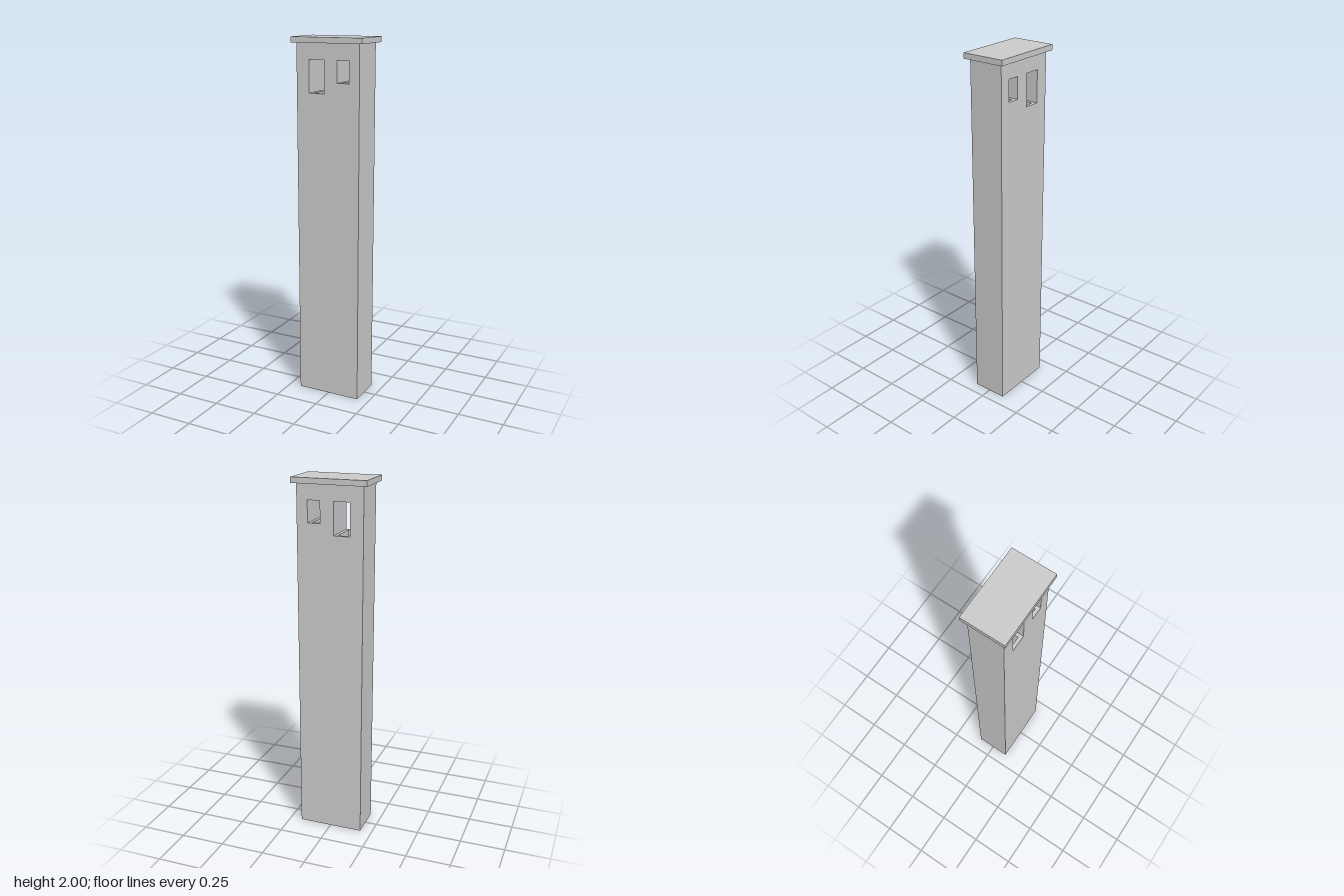
import * as THREE from 'three';
import { mergeGeometries } from 'three/addons/utils/BufferGeometryUtils.js';

const HALF_W = 0.183, HALF_D = 0.098, CAP_Y = 1.97;
const LIP = 0.018, FLUE_BOTTOM = 0.05;
const OPENINGS = [
  { x0: -0.11, x1: -0.02, y0: 1.71, y1: 1.885 },
  { x0: 0.054, x1: 0.123, y0: 1.768, y1: 1.885 },
];

function rectangle(Type, x0, y0, x1, y1) {
  return new Type().moveTo(x0, y0).lineTo(x1, y0).lineTo(x1, y1).lineTo(x0, y1).closePath();
}

// Flat rectangle, turned and moved into place
function panel(w, h, rx, ry, x, y, z) {
  return new THREE.PlaneGeometry(w, h).rotateX(rx).rotateY(ry).translate(x, y, z);
}

export function createModel() {
  const group = new THREE.Group();
  const material = new THREE.MeshStandardMaterial({ color: 0xcccccc, flatShading: true });
  const add = (name, geometry) => {
    const mesh = new THREE.Mesh(geometry, material);
    mesh.name = name;
    group.add(mesh);
    return mesh;
  };
  const Q = Math.PI / 2;

  // Outer walls of the stack, pierced front and back
  const walls = [];
  for (const side of [1, -1]) {
    const face = rectangle(THREE.Shape, -HALF_W, 0, HALF_W, CAP_Y);
    for (const o of OPENINGS) {
      face.holes.push(rectangle(THREE.Path, Math.min(side * o.x0, side * o.x1), o.y0,
        Math.max(side * o.x0, side * o.x1), o.y1));
    }
    walls.push(new THREE.ShapeGeometry(face).translate(0, 0, HALF_D).rotateY(side > 0 ? 0 : Math.PI));
    walls.push(panel(2 * HALF_D, CAP_Y, 0, side * Q, side * HALF_W, CAP_Y / 2, 0));
  }
  walls.push(panel(2 * HALF_W, 2 * HALF_D, Q, 0, 0, 0, 0));
  add('stack', mergeGeometries(walls));

  OPENINGS.forEach((o, i) => {
    const w = o.x1 - o.x0, h = o.y1 - o.y0, cx = (o.x0 + o.x1) / 2, cy = (o.y0 + o.y1) / 2;
    const fw = w / 2 - LIP, fd = HALF_D - LIP;
    const fh = o.y0 - FLUE_BOTTOM, fy = (o.y0 + FLUE_BOTTOM) / 2;

    // Sides and head of the opening, and a sill cut by the flue
    const sill = rectangle(THREE.Shape, -w / 2, -HALF_D, w / 2, HALF_D);
    sill.holes.push(rectangle(THREE.Path, -fw, -fd, fw, fd));
    add(`smokeOpening${i + 1}`, mergeGeometries([
      panel(2 * HALF_D, h, 0, Q, o.x0, cy, 0),
      panel(2 * HALF_D, h, 0, -Q, o.x1, cy, 0),
      panel(w, 2 * HALF_D, Q, 0, cx, o.y1, 0),
      new THREE.ShapeGeometry(sill).rotateX(-Q).translate(cx, o.y0, 0),
    ]));

    // Flue walls face inward, with a closed bottom
    add(`flue${i + 1}`, mergeGeometries([
      panel(2 * fd, fh, 0, Q, cx - fw, fy, 0),
      panel(2 * fd, fh, 0, -Q, cx + fw, fy, 0),
      panel(2 * fw, fh, 0, 0, cx, fy, -fd),
      panel(2 * fw, fh, 0, Math.PI, cx, fy, fd),
      panel(2 * fw, 2 * fd, -Q, 0, cx, FLUE_BOTTOM, 0),
    ]));
  });

  // Overhanging cap slab
  add('cap', new THREE.BoxGeometry(0.412, 2 - CAP_Y, 0.241)).position.y = (2 + CAP_Y) / 2;

  return group;
}
